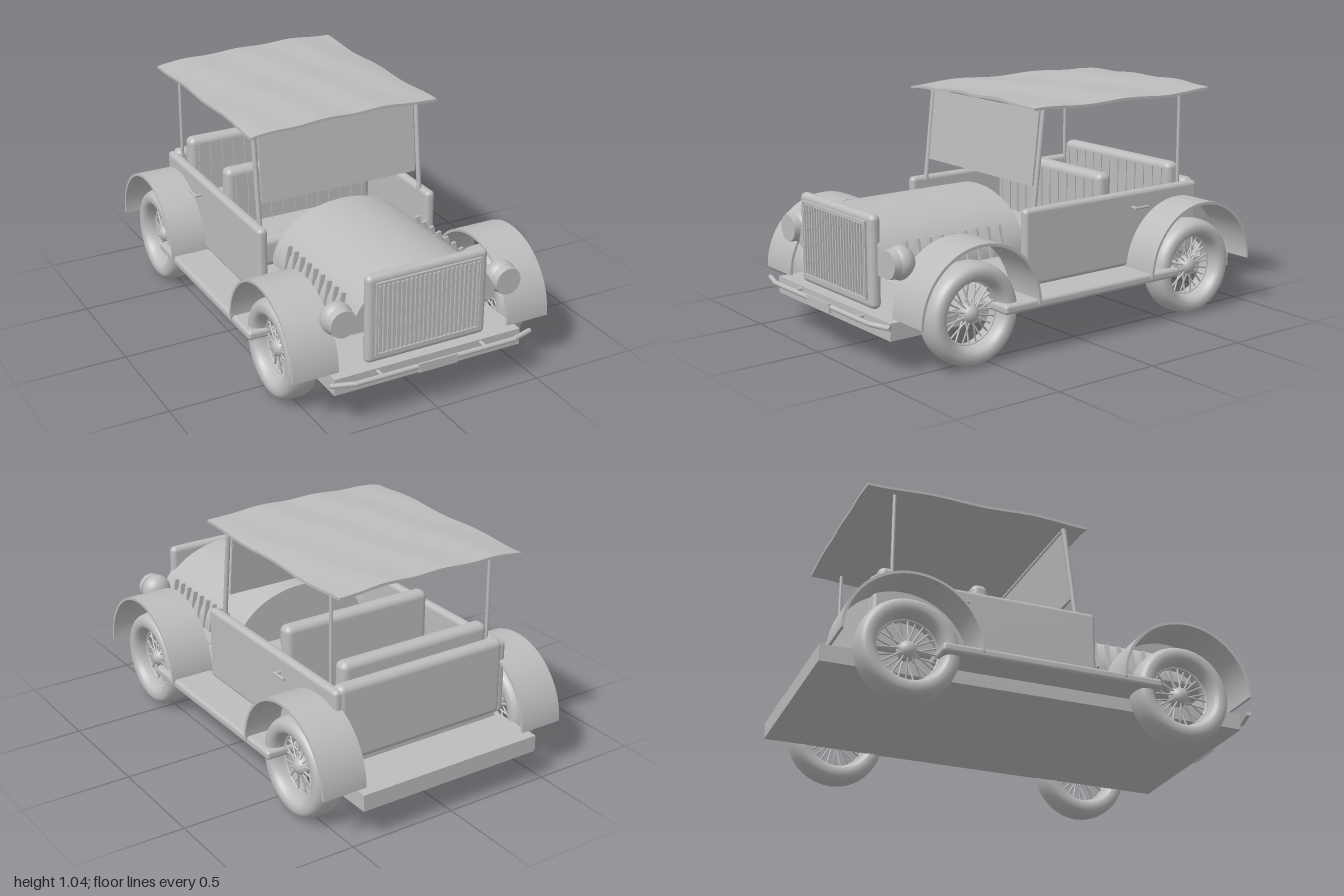
import * as THREE from 'three';
import { toCreasedNormals } from 'three/addons/utils/BufferGeometryUtils.js';
import { RoundedBoxGeometry } from 'three/addons/geometries/RoundedBoxGeometry.js';

export function createModel() {
  const car = new THREE.Group();
  car.name = 'openTouringCar';
  const grey = new THREE.MeshStandardMaterial({ color: 0xbcbcbc });
  grey.name = 'plainGrey';

  const add = (name, geometry, x = 0, y = 0, z = 0, parent = car) => {
    const mesh = new THREE.Mesh(geometry, grey);
    mesh.name = name;
    mesh.position.set(x, y, z);
    parent.add(mesh);
    return mesh;
  };
  // Boxes are given by their limits on each axis
  const box = (name, [x0, x1], [y0, y1], [z0, z1], r = 0, parent = car) => {
    const s = [x1 - x0, y1 - y0, z1 - z0];
    const g = r ? new RoundedBoxGeometry(...s, 4, r) : new THREE.BoxGeometry(...s);
    return add(name, g, (x0 + x1) / 2, (y0 + y1) / 2, (z0 + z1) / 2, parent);
  };
  const rod = (name, a, b, r, parent = car) => {
    const p = new THREE.Vector3(...a), q = new THREE.Vector3(...b);
    const d = q.clone().sub(p);
    const mesh = add(name, new THREE.CylinderGeometry(r, r, d.length(), 12), 0, 0, 0, parent);
    mesh.position.copy(p).add(q).multiplyScalar(0.5);
    mesh.quaternion.setFromUnitVectors(new THREE.Vector3(0, 1, 0), d.normalize());
    return mesh;
  };

  // Chassis, which is also the floor
  box('chassis', [-0.45, 0.45], [0.15, 0.225], [-1, 0.925]);
  box('bodyFloor', [-0.42, 0.42], [0.22, 0.265], [-0.76, 0.22]);

  // Body tub
  box('rearWall', [-0.425, 0.425], [0.25, 0.605], [-0.79, -0.72], 0.03);
  for (const s of [-1, 1]) {
    const x = s * 0.423;
    box('sideWall', [x - 0.023, x + 0.023], [0.25, 0.592], [-0.785, 0.23], 0.02);
    rod('doorHandle', [s * 0.475, 0.52, -0.37], [s * 0.475, 0.52, -0.45], 0.006);
    rod('handleStem', [s * 0.44, 0.52, -0.38], [s * 0.475, 0.52, -0.38], 0.006);
    box('runningBoard', [s * 0.51 - 0.1, s * 0.51 + 0.1], [0.208, 0.25], [-0.53, 0.46], 0.015);
  }

  // Seats with pleated backs
  for (const z of [-0.28, -0.7]) {
    const seat = new THREE.Group();
    seat.name = 'seat';
    car.add(seat);
    box('seatBack', [-0.375, 0.375], [0.26, 0.675], [z - 0.04, z + 0.035], 0.03, seat);
    box('seatCushion', [-0.375, 0.375], [0.26, 0.4], [z, z + 0.25], 0.03, seat);
    for (let i = 0; i < 12; i++) {
      const x = -0.33 + i * 0.06;
      box('seatPleat', [x - 0.003, x + 0.003], [0.4, 0.645], [z + 0.03, z + 0.04], 0, seat);
    }
  }

  // Arched hood
  const arch = new THREE.Shape();
  arch.absellipse(0, 0, 0.345, 0.245, 0, Math.PI, false);
  arch.closePath();
  const hoodGeo = new THREE.ExtrudeGeometry(arch, { depth: 0.72, bevelEnabled: false, curveSegments: 32 });
  add('hood', toCreasedNormals(hoodGeo, 0.6), 0, 0.38, 0.155);

  // Hood louvres, leaning with the arch
  for (const s of [-1, 1]) for (let i = 0; i < 9; i++) {
    const z = 0.28 + i * 0.06;
    const louvre = box('hoodLouvre', [-0.011, 0.011], [-0.068, 0.068], [-0.006, 0.006]);
    louvre.position.set(s * 0.334, 0.448, z);
    louvre.rotation.z = s * 0.2;
  }

  // Radiator: shell, raised frame and vertical slats
  box('radiatorShell', [-0.288, 0.288], [0.235, 0.635], [0.852, 0.902], 0.024);
  for (const s of [-1, 1]) {
    box('grilleFrameSide', [s * 0.247 - 0.004, s * 0.247 + 0.004], [0.275, 0.605], [0.9, 0.912]);
    box('grilleFrameRail', [-0.25, 0.25], [0.44 + s * 0.162 - 0.004, 0.44 + s * 0.162 + 0.004], [0.9, 0.912]);
  }
  for (let i = 0; i < 23; i++) {
    const x = -0.235 + i * 0.47 / 22;
    box('grilleSlat', [x - 0.004, x + 0.004], [0.285, 0.59], [0.9, 0.912]);
  }

  // Headlights
  for (const s of [-1, 1]) {
    const lamp = new THREE.Group();
    lamp.name = 'headlight';
    lamp.position.set(s * 0.395, 0.453, 0.838);
    car.add(lamp);
    add('lampShell', new THREE.SphereGeometry(0.07, 32, 20), 0, 0, 0, lamp).scale.set(1, 1.03, 0.86);
    add('lampLens', new THREE.CylinderGeometry(0.06, 0.064, 0.035, 32), 0, 0, 0.047, lamp).rotation.x = Math.PI / 2;
    rod('lampBracket', [s * 0.35, 0.43, 0.84], [s * 0.27, 0.48, 0.86], 0.012);
  }

  // Front bumper with swept ends, and a blank plate
  const bar = (name, a, b) => rod(name, a, b, 0.011);
  bar('bumperBar', [-0.385, 0.218, 0.98], [0.385, 0.218, 0.98]);
  for (const s of [-1, 1]) {
    bar('bumperEnd', [s * 0.38, 0.218, 0.98], [s * 0.485, 0.218, 0.948]);
    rod('bumperBracket', [s * 0.25, 0.212, 0.92], [s * 0.25, 0.212, 0.98], 0.008);
  }
  box('frontPlate', [-0.092, 0.092], [0.194, 0.235], [0.985, 0.994]);

  // Wheels: rounded tyre, rim, wire spokes and hub
  const section = [];
  for (let i = 0; i <= 28; i++) {
    const t = i / 28 * Math.PI * 2;
    const soft = (v) => Math.sign(v) * Math.abs(v) ** 0.8;
    section.push(new THREE.Vector2(0.179 + 0.041 * soft(Math.cos(t)), 0.07 * soft(Math.sin(t))));
  }
  const tyreGeo = new THREE.LatheGeometry(section, 48).rotateZ(Math.PI / 2);
  const fenderShape = new THREE.Shape();
  fenderShape.absarc(0, 0, 0.305, 0, Math.PI, false);
  fenderShape.absarc(0, 0, 0.293, Math.PI, 0, true);
  fenderShape.closePath();
  const fenderGeo = toCreasedNormals(new THREE.ExtrudeGeometry(fenderShape,
    { depth: 0.208, bevelEnabled: false, curveSegments: 40 }), 0.6).rotateY(Math.PI / 2);

  for (const z of [0.583, -0.655]) {
    for (const s of [-1, 1]) {
      const wheel = new THREE.Group();
      wheel.name = 'wheel';
      wheel.position.set(s * 0.515, 0.223, z);
      car.add(wheel);
      add('tyre', tyreGeo, 0, 0, 0, wheel);
      add('rim', new THREE.TorusGeometry(0.138, 0.008, 8, 48), 0, 0, 0, wheel).rotation.y = Math.PI / 2;
      add('hub', new THREE.SphereGeometry(0.043, 24, 16), 0, 0, 0, wheel);
      for (let i = 0; i < 24; i++) {
        const a = i / 24 * Math.PI * 2, c = Math.cos(a), n = Math.sin(a);
        const side = i % 2 ? 0.02 : -0.02;
        rod('spoke', [side, 0.03 * c, 0.03 * n], [0, 0.142 * c, 0.142 * n], 0.004, wheel);
      }
      add('fender', fenderGeo, s > 0 ? 0.41 : -0.618, 0.23, z);
    }
    rod('axle', [-0.5, 0.223, z], [0.5, 0.223, z], 0.015);
  }

  // Windscreen, leaning back between its posts
  for (const s of [-1, 1]) {
    rod('windscreenPost', [s * 0.405, 0.575, 0.153], [s * 0.405, 1.015, 0.102], 0.011);
    rod('rearRoofPost', [s * 0.405, 0.57, -0.695], [s * 0.405, 1.015, -0.695], 0.008);
  }
  rod('windscreenTopRail', [-0.41, 1.008, 0.103], [0.41, 1.008, 0.103], 0.01);
  const glass = box('windscreen', [-0.385, 0.385], [-0.162, 0.162], [-0.006, 0.006]);
  glass.position.set(0, 0.836, 0.123);
  glass.rotation.x = -0.115;

  // Rippled cloth roof, drooping a little towards both sides
  const roofGeo = new THREE.BoxGeometry(0.916, 0.012, 1.025, 40, 1, 48);
  const p = roofGeo.attributes.position;
  for (let i = 0; i < p.count; i++) {
    const x = p.getX(i), z = p.getZ(i);
    const ripple = 0.005 * Math.sin(z * 13 + x * 4) + 0.003 * Math.sin(x * 22 - z * 5);
    p.setY(i, p.getY(i) + ripple - 0.016 * Math.abs(x / 0.458) ** 3);
  }
  add('clothRoof', toCreasedNormals(roofGeo, 0.8), 0, 1.029, -0.318);

  return car;
}
